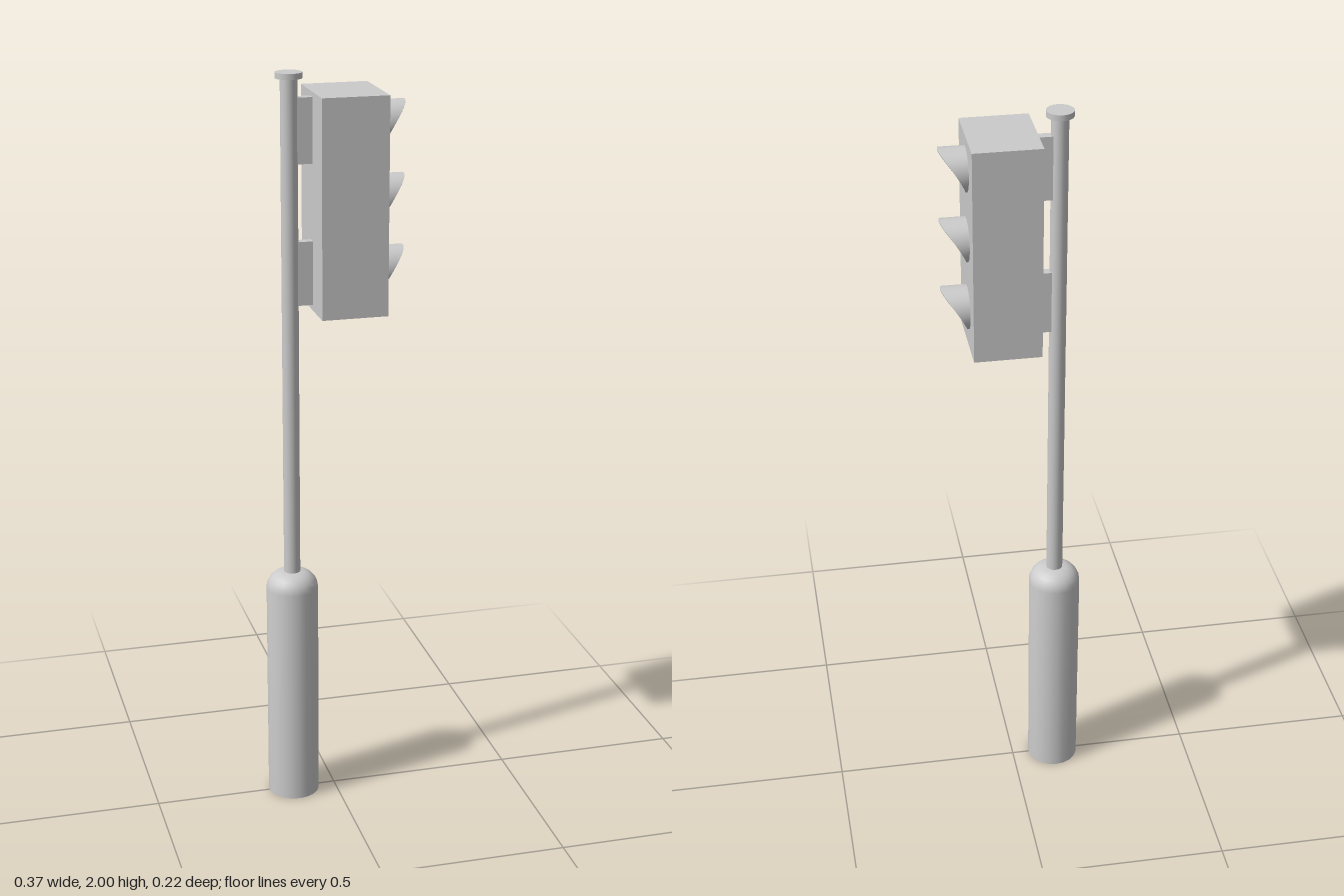
import * as THREE from 'three';
import { toCreasedNormals } from 'three/addons/utils/BufferGeometryUtils.js';

const POLE_X = -0.116, FACE_X = 0.116;

export function createModel() {
  const group = new THREE.Group();
  const grey = new THREE.MeshStandardMaterial({ color: 0xcccccc });
  const greyDouble = new THREE.MeshStandardMaterial({ color: 0xcccccc, side: THREE.DoubleSide });

  function add(name, geometry, x, y, z = 0, material = grey) {
    const mesh = new THREE.Mesh(geometry, material);
    mesh.name = name;
    mesh.position.set(x, y, z);
    group.add(mesh);
    return mesh;
  }

  // Hollow base sleeve with a rounded shoulder, open underneath
  const profile = [new THREE.Vector2(0.07, 0)];
  for (let i = 0; i <= 6; i++) {
    const a = (i / 6) * Math.PI / 2;
    profile.push(new THREE.Vector2(0.022 + 0.048 * Math.cos(a), 0.612 + 0.047 * Math.sin(a)));
  }
  add('base', toCreasedNormals(new THREE.LatheGeometry(profile, 20), 0.7), POLE_X, 0, 0, greyDouble);

  // Pole and its cap
  add('pole', new THREE.CylinderGeometry(0.022, 0.022, 1.34, 20), POLE_X, 1.32);
  add('poleCap', new THREE.CylinderGeometry(0.035, 0.035, 0.015, 20), POLE_X, 1.9925);

  // Signal housing and the two plates that hold it to the pole
  add('housing', new THREE.BoxGeometry(0.174, 0.565, 0.216), 0.029, 1.6675);
  for (const y of [1.485, 1.853]) {
    add('bracket', new THREE.BoxGeometry(0.058, 0.168, 0.024), -0.087, y);
  }

  // Visor: a thin ring pulled out far at the top, tapering to nothing at the bottom
  function visorGeometry() {
    const ring = [[0.057, 0], [0.057, 1], [0.053, 1], [0.053, 0]].map(p => new THREE.Vector2(...p));
    const g = new THREE.LatheGeometry(ring, 32).rotateZ(-Math.PI / 2);
    const pos = g.attributes.position;
    for (let i = 0; i < pos.count; i++) {
      const cos = pos.getY(i) / Math.hypot(pos.getY(i), pos.getZ(i));
      const depth = 0.004 + 0.064 * Math.pow(Math.max(0, (1 + cos) / 2), 1.5);
      pos.setX(i, pos.getX(i) * depth);
    }
    return toCreasedNormals(g, 0.7);
  }

  // Three lamps, each with a lens and a visor
  const visor = visorGeometry();
  const lens = new THREE.CylinderGeometry(0.054, 0.054, 0.002, 32).rotateZ(-Math.PI / 2);
  for (const y of [1.487, 1.675, 1.864]) {
    add('lens', lens, FACE_X + 0.001, y);
    add('visor', visor, FACE_X, y, 0, greyDouble);
  }
  return group;
}
